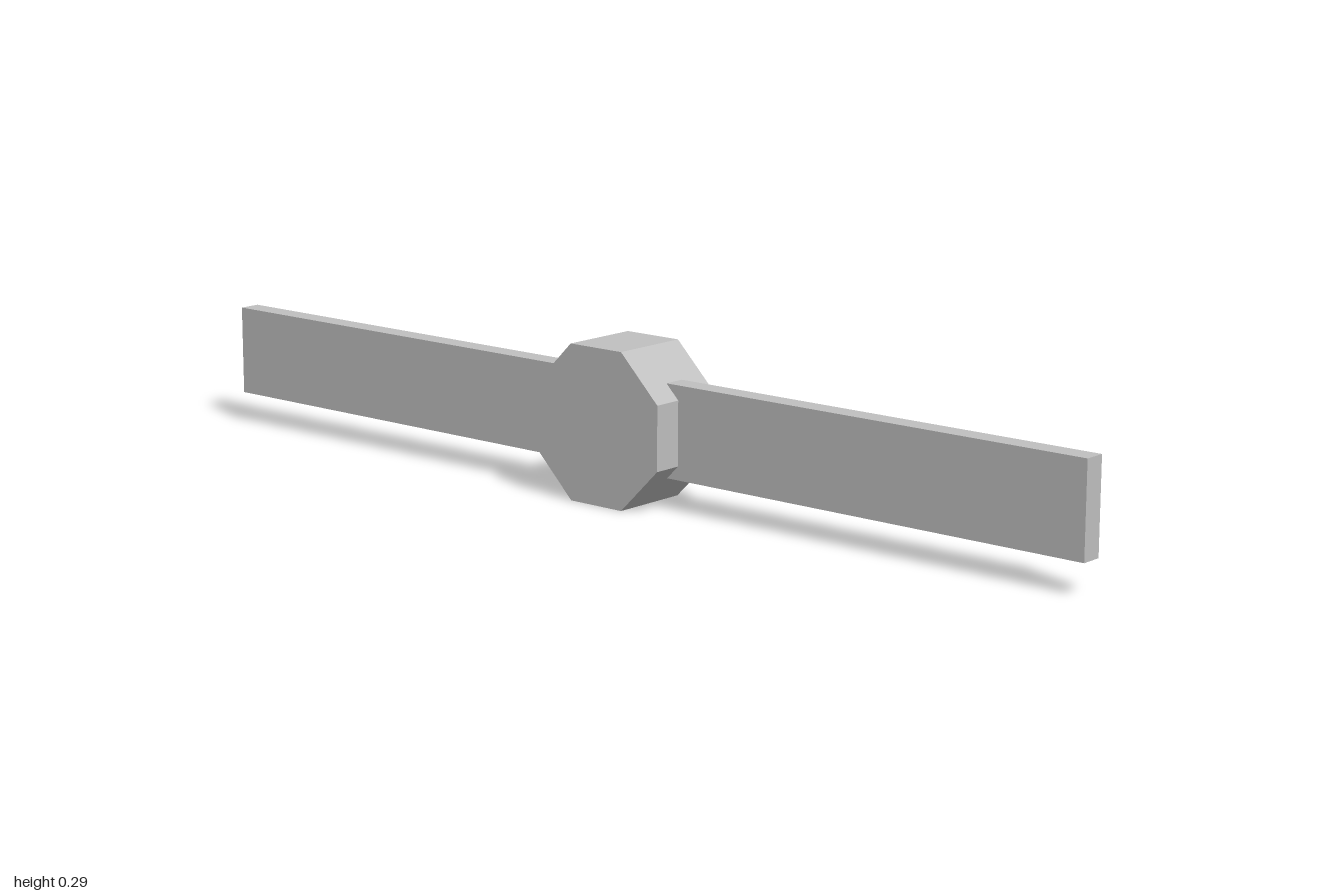
import * as THREE from 'three';

export function createModel() {
  const model = new THREE.Group();
  const grey = new THREE.MeshStandardMaterial({ color: 0xc0c0c0, flatShading: true });
  grey.name = 'grey';

  const apothem = 0.145; // hub centre height
  const hubHalfWidth = 0.078;

  // Octagonal hub lying along x, resting on a flat side
  const radius = apothem / Math.cos(Math.PI / 8);
  const hubGeometry = new THREE.CylinderGeometry(radius, radius, hubHalfWidth * 2, 8);
  hubGeometry.rotateY(Math.PI / 8).rotateZ(Math.PI / 2);
  const hub = new THREE.Mesh(hubGeometry, grey);
  hub.name = 'hub';
  hub.position.y = apothem;
  model.add(hub);

  // Two flat blades, meeting inside the hub
  for (const side of [1, -1]) {
    const blade = new THREE.Mesh(new THREE.BoxGeometry(0.042, 0.173, 0.95), grey);
    blade.name = side > 0 ? 'frontBlade' : 'backBlade';
    blade.position.set(0, 0.146, side * 0.525);
    model.add(blade);
  }

  return model;
}
